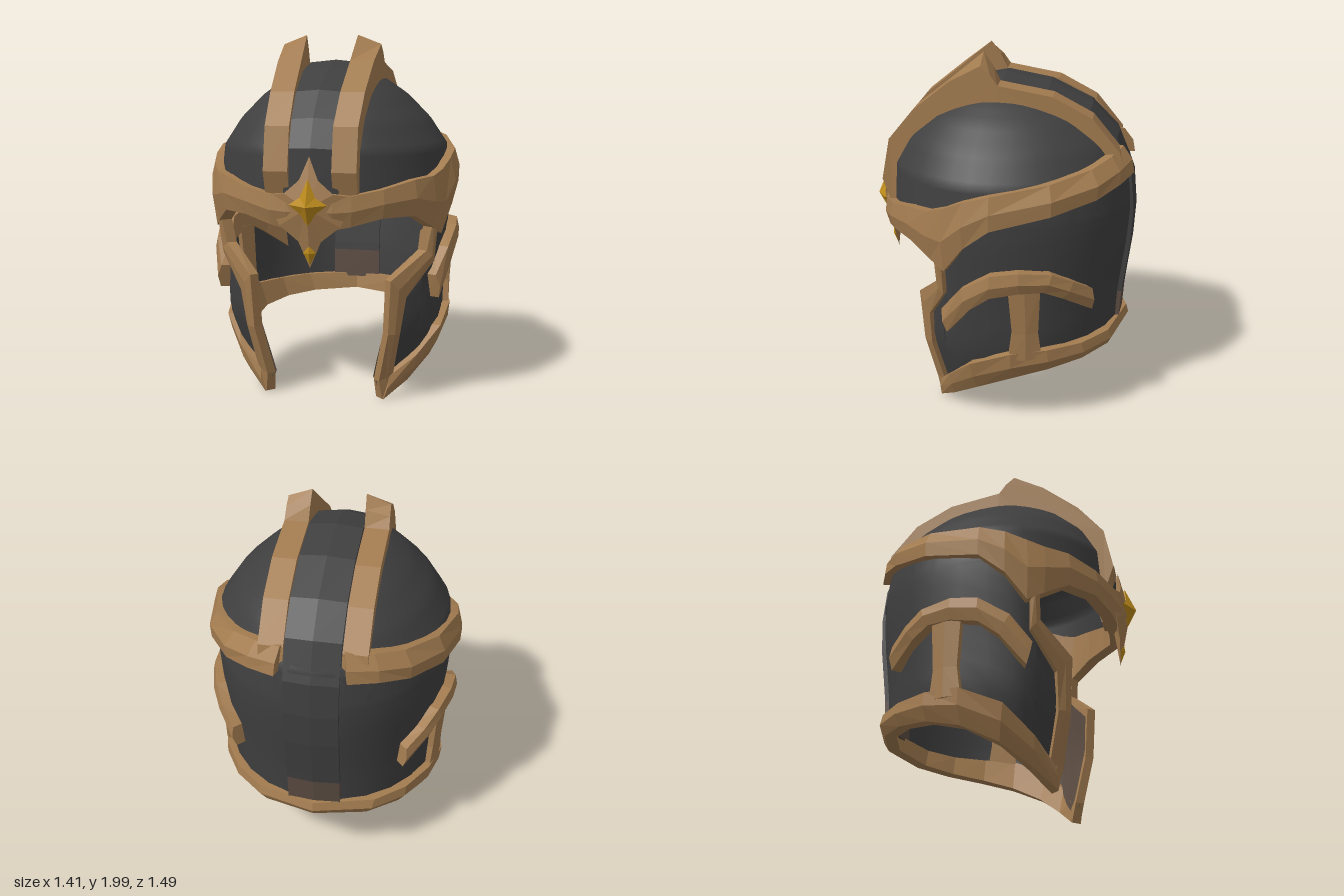
import * as THREE from 'three';

const mat = (name, color, side = THREE.FrontSide) => {
  const m = new THREE.MeshStandardMaterial({ color, side });
  m.name = name;
  return m;
};
const dark = mat('dark steel', 0x3f3f40, THREE.DoubleSide);
const bronze = mat('bronze', 0xa37c50);
const gold = mat('gold', 0xbd8b1a);
const lining = mat('dark brown', 0x5a4b41, THREE.DoubleSide);
const clamp01 = t => THREE.MathUtils.clamp(t, 0, 1);

// Helmet skin: height, half width, front depth, back depth
const PROFILE = [
  [0, 0.44, 0.46, 0.5], [0.25, 0.54, 0.54, 0.6], [0.45, 0.62, 0.59, 0.67], [0.6, 0.62, 0.6, 0.67],
  [0.8, 0.63, 0.61, 0.69], [1.0, 0.645, 0.62, 0.715], [1.2, 0.655, 0.63, 0.725], [1.4, 0.63, 0.62, 0.7],
  [1.55, 0.53, 0.55, 0.62], [1.68, 0.4, 0.43, 0.49], [1.77, 0.27, 0.29, 0.33], [1.82, 0.14, 0.16, 0.18], [1.84, 0, 0, 0],
];
function radii(y) {
  let i = 1;
  while (i < PROFILE.length - 1 && PROFILE[i][0] < y) i++;
  const a = PROFILE[i - 1], b = PROFILE[i];
  const t = clamp01((y - a[0]) / (b[0] - a[0]));
  return [1, 2, 3].map(k => a[k] + (b[k] - a[k]) * t);
}
// Point on the skin; angle in degrees from the front, s picks the side.
// The cheeks fold slightly inwards towards the face opening.
function skin(s, deg, y, off = 0) {
  const [rx, rf, rb] = radii(y), a = THREE.MathUtils.degToRad(deg);
  const fold = 1 - 0.1 * clamp01((68 - deg) / 20) * clamp01((1.03 - y) / 0.17) * clamp01(0.3 + y * 5);
  return [s * (rx + off) * fold * Math.sin(a), y, ((Math.cos(a) >= 0 ? rf : rb) + off) * fold * Math.cos(a)];
}
// Angle on the skin at a given depth z
function angleAt(z, y) {
  const [, rf, rb] = radii(y);
  return THREE.MathUtils.radToDeg(Math.acos(THREE.MathUtils.clamp(z / (z >= 0 ? rf : rb), -1, 1)));
}

// Closed flat-shaded solid from triangles, turned to face outwards
function solid(tris) {
  let volume = 0;
  const v = p => new THREE.Vector3(...p);
  for (const [a, b, c] of tris) volume += v(a).dot(v(b).cross(v(c)));
  const out = volume < 0 ? tris.map(([a, b, c]) => [a, c, b]) : tris;
  const g = new THREE.BufferGeometry();
  g.setAttribute('position', new THREE.Float32BufferAttribute(out.flat(2), 3));
  g.computeVertexNormals();
  return g;
}
// Solid through a row of cross-sections, with end caps
function loft(rings) {
  const tris = [], n = rings[0].length, last = rings[rings.length - 1];
  for (let i = 0; i < rings.length - 1; i++) {
    for (let j = 0; j < n; j++) {
      const k = (j + 1) % n, a = rings[i], b = rings[i + 1];
      tris.push([a[j], b[j], b[k]], [a[j], b[k], a[k]]);
    }
  }
  for (let j = 1; j < n - 1; j++) {
    tris.push([rings[0][0], rings[0][j], rings[0][j + 1]], [last[0], last[j + 1], last[j]]);
  }
  return solid(tris);
}
// Raised trim on the skin; each entry is [angleA, yA, angleB, yB]
function trim(s, path, off) {
  return loft(path.map(([ta, ya, tb, yb]) => [
    skin(s, ta, ya, -0.025), skin(s, ta, ya, off * 0.75),
    skin(s, (ta + tb) / 2, (ya + yb) / 2, off),
    skin(s, tb, yb, off * 0.75), skin(s, tb, yb, -0.025),
  ]));
}
// The same, with entries [zA, yA, zB, yB]
const sideTrim = (s, path, off) =>
  trim(s, path.map(([za, ya, zb, yb]) => [angleAt(za, ya), ya, angleAt(zb, yb), yb]), off);

// Smooth open sheet; each column is [angle, low, high]
function sheet(s, cols, rows, off = 0) {
  const pos = [], idx = [];
  cols.forEach(([deg, lo, hi], i) => {
    for (let j = 0; j <= rows; j++) {
      pos.push(...skin(s, deg, lo + (hi - lo) * j / rows, off));
      if (i && j) {
        const d = i * (rows + 1) + j, c = d - rows - 1;
        if (s > 0) idx.push(c - 1, d - 1, d, c - 1, d, c);
        else idx.push(c - 1, d, d - 1, c - 1, c, d);
      }
    }
  });
  const g = new THREE.BufferGeometry();
  g.setAttribute('position', new THREE.Float32BufferAttribute(pos, 3));
  g.setIndex(idx);
  g.computeVertexNormals();
  return g;
}
// Faceted star: right half outline from top to bottom, front and back points
function star(half, front, back) {
  const ring = [...half, ...half.slice(1, -1).reverse().map(([x, y, z]) => [-x, y, z])];
  return solid(ring.flatMap((p, i) => {
    const q = ring[(i + 1) % ring.length];
    return [[p, q, front], [q, p, back]];
  }));
}
// Raised strip along the middle of the helmet through [z, y] points
function strip(path) {
  return loft(path.map(([z, y]) => {
    const cy = Math.min(y, 1.15), len = Math.hypot(z, y - cy);
    const at = (x, d) => [x, cy + (y - cy) * (1 + d / len), z * (1 + d / len)];
    return [at(-0.145, -0.06), at(-0.145, -0.015), at(0, 0), at(0.145, -0.015), at(0.145, -0.06)];
  }));
}
// Horned crest: outline in depth and height, leaning out towards the top and back
function crest(s) {
  const outline = new THREE.Shape([
    [0.6, 1.14], [0.655, 1.3], [0.61, 1.53], [0.47, 1.7], [0.27, 1.86], [0.1, 2], [0.05, 1.93], [0.01, 1.85],
    [-0.28, 1.8], [-0.49, 1.69], [-0.64, 1.51], [-0.66, 1.42], [-0.57, 1.42], [-0.5, 1.54], [-0.33, 1.64],
    [0, 1.73], [0.12, 1.72], [0.3, 1.61], [0.46, 1.44], [0.53, 1.14],
  ].map(([z, y]) => new THREE.Vector2(z, y)));
  const g = new THREE.ExtrudeGeometry(outline, { depth: 0.13, bevelEnabled: false });
  g.rotateY(-Math.PI / 2);
  g.translate(s > 0 ? 0.28 : -0.15, 0, 0);
  const p = g.attributes.position;
  for (let i = 0; i < p.count; i++) {
    const x = p.getX(i), y = p.getY(i);
    const outer = Math.abs(x) > 0.2 ? 1 : 0;
    p.setX(i, x - s * 0.035 * clamp01(p.getZ(i) / 0.6));
    p.setY(i, y - 0.05 * outer * clamp01((y - 1.87) / 0.13));
  }
  g.computeVertexNormals();
  return g;
}

export function createModel() {
  const group = new THREE.Group();
  group.name = 'helmet';
  const add = (name, geometry, material) => {
    const m = new THREE.Mesh(geometry, material);
    m.name = name;
    group.add(m);
  };

  // Domed crown
  const crown = [];
  for (let deg = 0; deg <= 360; deg += 10) crown.push([deg, 1.18, 1.84]);
  add('crown', sheet(1, crown, 24), dark);

  // Centre ridge from the brow over the top and down the back, with a darkened foot
  add('centreRidge', strip([
    [0.64, 1.18], [0.635, 1.42], [0.56, 1.57], [0.43, 1.71], [0.22, 1.82], [0, 1.865], [-0.25, 1.82], [-0.48, 1.71],
    [-0.63, 1.56], [-0.72, 1.35], [-0.74, 1.15], [-0.73, 0.95], [-0.7, 0.7], [-0.695, 0.65],
  ]), dark);
  add('ridgeFoot', strip([[-0.695, 0.65], [-0.685, 0.48]]), lining);

  for (const s of [1, -1]) {
    const side = s > 0 ? 'left' : 'right';

    // Side wall with pointed cheek guard
    const wall = [[42, 0.1, 0.68], [47, 0.06, 0.72], [54, 0.09, 0.78], [62, 0.13, 0.84], [62.5, 0.13, 1.2], [68, 0.18, 1.22],
      [74, 0.22, 1.25], [86, 0.28, 1.32], [99, 0.35, 1.38], [112, 0.38, 1.4], [125, 0.41, 1.42], [139, 0.42, 1.45],
      [153, 0.43, 1.46], [167, 0.44, 1.46], [180, 0.44, 1.46]];
    add(side + 'Wall', sheet(s, wall, 10), dark);
    add(side + 'CheekLining', sheet(s, [[42, 0.13, 0.65], [47, 0.08, 0.69], [54, 0.13, 0.74], [61, 0.2, 0.8], [66, 0.3, 0.9]], 5, -0.035), lining);

    // Brow band sweeping up to the back
    add(side + 'BrowBand', trim(s, [
      [0, 1.0, 1.2], [10, 1.0, 1.19], [18, 1.02, 1.18], [32, 1.06, 1.21], [48, 1.06, 1.25], [60, 0.99, 1.26], [68, 0.94, 1.29],
      [78, 1.09, 1.34], [90, 1.2, 1.38], [114, 1.27, 1.43], [135, 1.32, 1.47], [150, 1.36, 1.5], [164, 1.38, 1.52],
    ].map(([t, lo, hi]) => [t, lo, t, hi]), 0.06), bronze);

    // Edge of the cheek guard
    add(side + 'CheekTrim', trim(s, [
      [62, 1.03, 66, 1.03], [61, 0.85, 66, 0.79], [41, 0.7, 51, 0.6],
      [41, 0.4, 49, 0.4], [42, 0.12, 52, 0.15], [46, 0.01, 56, 0.08],
    ], 0.045), bronze);

    // Lower rim round to the back
    add(side + 'Rim', sideTrim(s, [
      [0.32, 0.01, 0.33, 0.14], [0.22, 0.1, 0.24, 0.25], [0.08, 0.21, 0.11, 0.39], [-0.1, 0.3, -0.1, 0.48],
      [-0.28, 0.35, -0.28, 0.49], [-0.45, 0.375, -0.45, 0.49], [-0.58, 0.39, -0.58, 0.495], [-0.9, 0.405, -0.9, 0.5],
    ], 0.055), bronze);

    // Ear arch and its post
    add(side + 'EarArch', sideTrim(s, [
      [0.22, 0.58, 0.25, 0.71], [0.1, 0.74, 0.15, 0.85], [0, 0.82, 0, 0.95], [-0.14, 0.85, -0.14, 0.97],
      [-0.26, 0.85, -0.3, 0.95], [-0.35, 0.8, -0.4, 0.89], [-0.49, 0.69, -0.49, 0.82],
    ], 0.07), bronze);
    add(side + 'EarPost', sideTrim(s, [
      [-0.09, 0.44, -0.26, 0.44], [-0.11, 0.6, -0.24, 0.6], [-0.09, 0.87, -0.25, 0.87],
    ], 0.045), bronze);

    add(side + 'Crest', crest(s), bronze);
  }

  // Brow star with nose point, gem and tip
  add('browStar', star([
    [0, 1.38, 0.65], [0.05, 1.26, 0.67], [0.13, 1.19, 0.67], [0.24, 1.17, 0.63],
    [0.16, 1.02, 0.65], [0.06, 0.94, 0.65], [0, 0.8, 0.64],
  ], [0, 1.12, 0.71], [0, 1.1, 0.6]), bronze);
  add('gem', star([
    [0, 1.27, 0.685], [0.04, 1.175, 0.695], [0.1, 1.135, 0.685], [0.04, 1.09, 0.695], [0, 1.02, 0.685],
  ], [0, 1.13, 0.745], [0, 1.13, 0.58]), gold);
  add('noseTip', star([[0, 0.92, 0.665], [0.035, 0.88, 0.65], [0, 0.82, 0.645]], [0, 0.88, 0.67], [0, 0.87, 0.64]), gold);
  return group;
}
